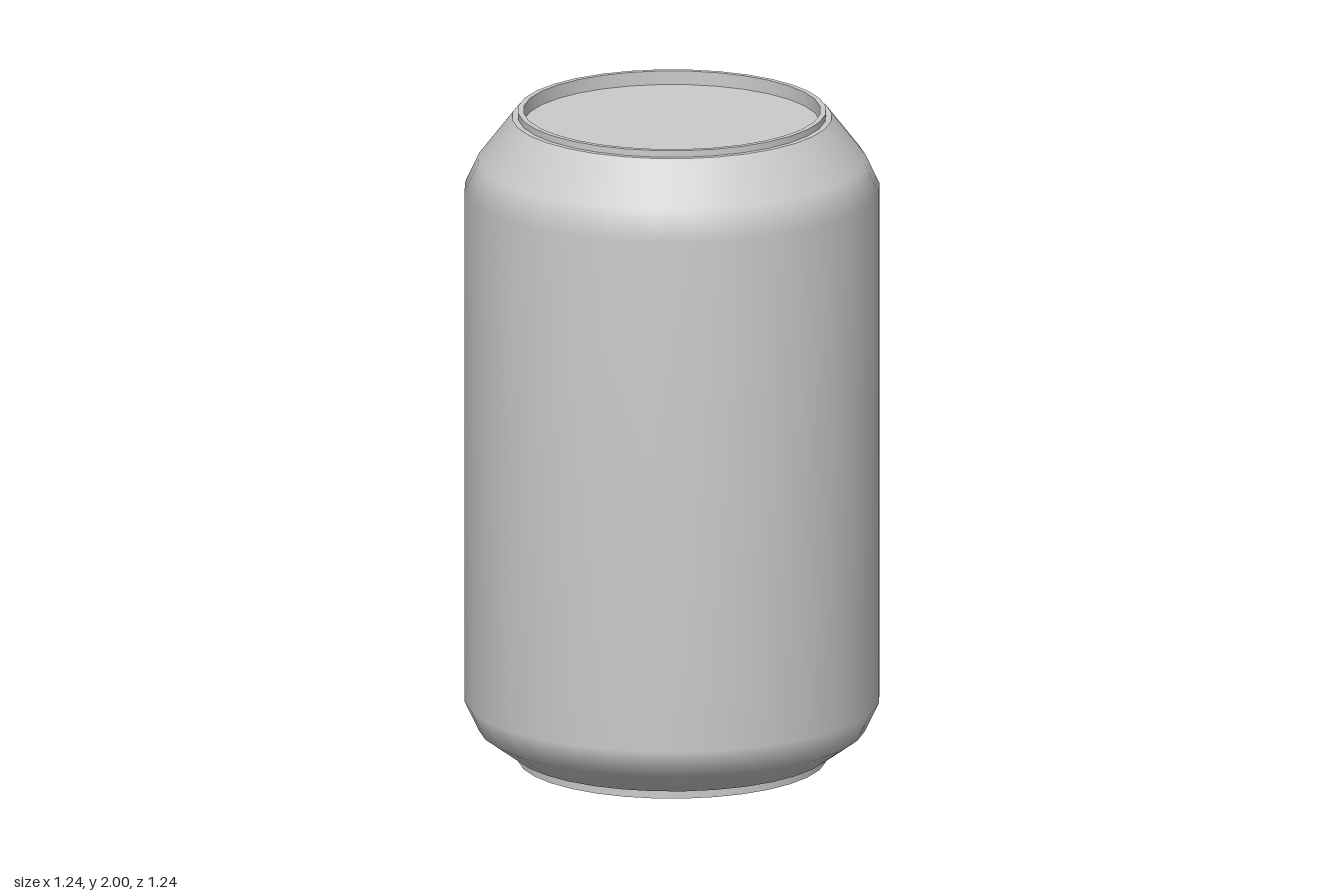
import * as THREE from 'three';

const SIDES = 32;
const material = new THREE.MeshStandardMaterial({ color: 0xcccccc });

// Revolves a [radius, height] profile; normals are smooth along it.
function lathe(name, profile) {
  const points = profile.map(([r, y]) => new THREE.Vector2(r, y));
  const mesh = new THREE.Mesh(new THREE.LatheGeometry(points, SIDES), material);
  mesh.name = name;
  return mesh;
}

// Revolves each profile step on its own, so the edges between steps stay sharp.
function steppedLathe(name, profile) {
  const group = new THREE.Group();
  group.name = name;
  for (let i = 0; i < profile.length - 1; i++) {
    group.add(lathe(`${name}Step${i + 1}`, [profile[i], profile[i + 1]]));
  }
  return group;
}

export function createModel() {
  const can = new THREE.Group();
  can.name = 'can';

  // Recessed base: panel, inner wall, foot ring and step to the body
  can.add(steppedLathe('base', [
    [0, 0.042], [0.443, 0.042], [0.443, 0], [0.46, 0], [0.46, 0.027], [0.477, 0.027],
  ]));

  // Smooth body with tapered lower edge and upper shoulder
  can.add(lathe('body', [
    [0.477, 0.027], [0.578, 0.1], [0.62, 0.188],
    [0.62, 1.76], [0.578, 1.85], [0.477, 1.98],
  ]));

  // Recessed lid: step, raised rim, inner wall and panel
  can.add(steppedLathe('lid', [
    [0.477, 1.98], [0.46, 1.98], [0.46, 2], [0.443, 2], [0.443, 1.958], [0, 1.958],
  ]));

  return can;
}
